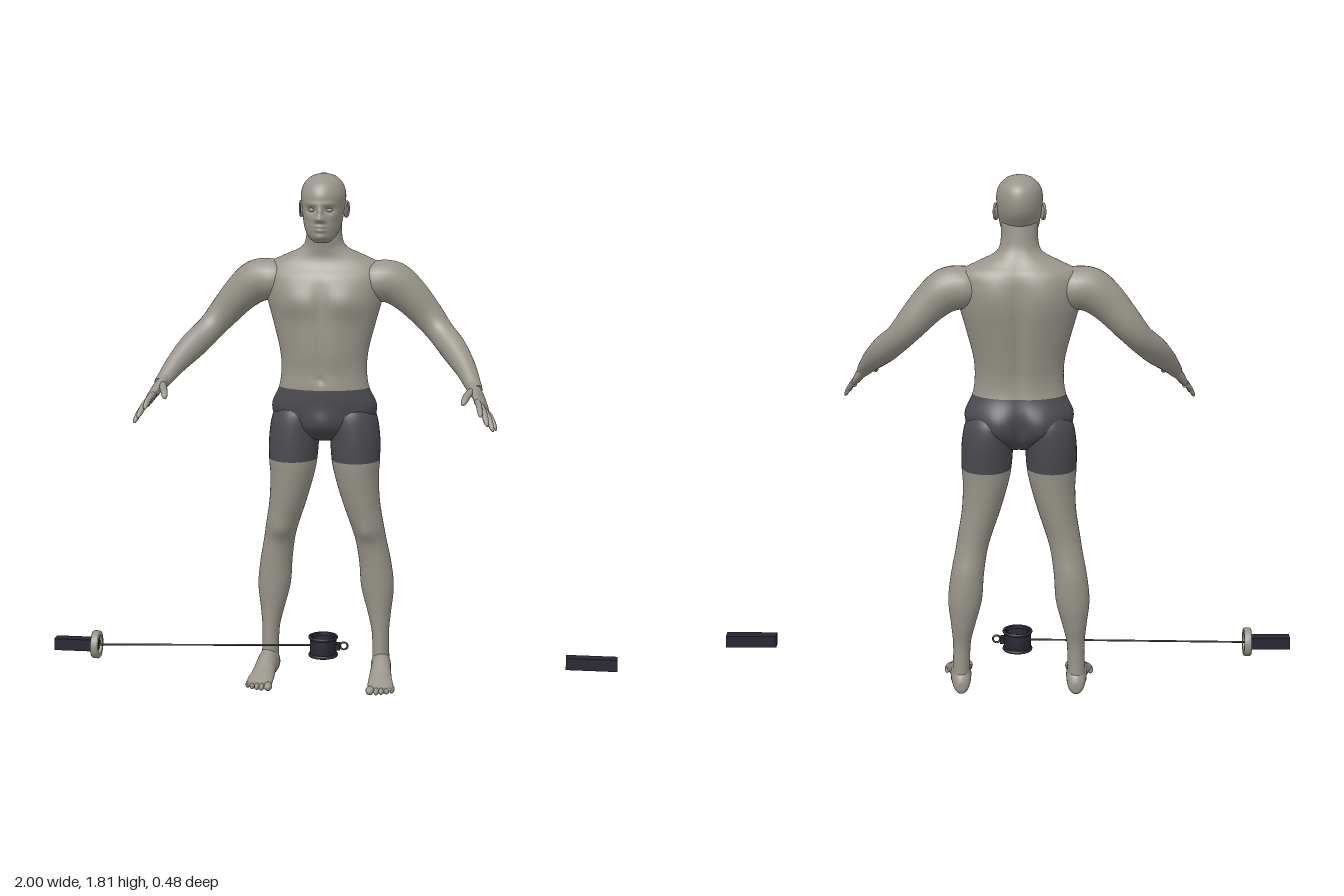
import * as THREE from 'three';

const V = (x, y, z) => new THREE.Vector3(x, y, z);
const material = (name, color) => {
  const m = new THREE.MeshStandardMaterial({ color });
  m.name = name;
  return m;
};

// Smooth interpolation of section rows [x, y, z, radiusU, radiusV]
function sample(rows, i, t) {
  const at = k => rows[Math.max(0, Math.min(rows.length - 1, k))];
  const [a, b, c, d] = [at(i - 1), at(i), at(i + 1), at(i + 2)];
  return b.map((_, k) => 0.5 * (2 * b[k] + (c[k] - a[k]) * t
    + (2 * a[k] - 5 * b[k] + 4 * c[k] - d[k]) * t * t
    + (3 * b[k] - a[k] - 3 * c[k] + d[k]) * t * t * t));
}

// Closed skin over elliptical sections. axes: fixed ring axes; ref: ring axis to follow a bending path.
// bumps: [x, y, side, sizeX, sizeY, push], mirrored in x, pushing the front (side 1) or back (-1) along z.
function loft(rows, { axes = [V(0, 0, 1), V(1, 0, 0)], ref, steps = 5, seg = 24, bumps = [], mats, cut = 0 } = {}) {
  const rings = [];
  for (let i = 0; i < rows.length - 1; i++)
    for (let k = 0; k < steps; k++) rings.push(sample(rows, i, k / steps));
  rings.push(rows[rows.length - 1]);
  const first = rings[0], last = rings[rings.length - 1];
  rings.unshift([...first.slice(0, 3), 0, 0]);
  rings.push([...last.slice(0, 3), 0, 0]);
  const pos = [], idx = [], n = rings.length;
  rings.forEach((r, i) => {
    let [u, v] = axes;
    if (ref) {
      const a = rings[Math.max(0, i - 2)], b = rings[Math.min(n - 1, i + 2)];
      const w = V(b[0] - a[0], b[1] - a[1], b[2] - a[2]).normalize();
      u = ref.clone().addScaledVector(w, -ref.dot(w)).normalize();
      v = w.clone().cross(u);
    }
    for (let j = 0; j < seg; j++) {
      const a = j / seg * Math.PI * 2;
      const p = V(r[0], r[1], r[2]).addScaledVector(u, r[3] * Math.cos(a)).addScaledVector(v, r[4] * Math.sin(a));
      const face = Math.cos(a);
      let dz = 0;
      for (const [x, y, side, sx, sy, push] of bumps)
        if (face * side > 0 && r[3] > 0)
          dz += push * Math.min(1, Math.abs(face) * 1.6)
            * Math.exp(-(((Math.abs(p.x) - x) / sx) ** 2) - (((p.y - y) / sy) ** 2));
      pos.push(p.x, Math.max(0, p.y), p.z + dz);
      if (i < n - 1) {
        const j2 = (j + 1) % seg, A = i * seg + j, B = i * seg + j2;
        idx.push(A, B, A + seg, B, B + seg, A + seg);
      }
    }
  });
  const g = new THREE.BufferGeometry();
  g.setAttribute('position', new THREE.Float32BufferAttribute(pos, 3));
  g.setIndex(idx);
  g.computeVertexNormals();
  if (mats) {
    const split = (1 + cut * steps) * seg * 6;
    g.addGroup(0, split, 0);
    g.addGroup(split, idx.length - split, 1);
  }
  return g;
}

export function createModel() {
  const skin = material('skin', 0x98948a), cloth = material('shorts cloth', 0x4a4a50);
  const dark = material('dark padding', 0x282632), pale = material('pulley metal', 0x98948a);
  const wire = material('cable', 0x45433f);
  const model = new THREE.Group(), body = new THREE.Group();
  model.name = 'trainingFigure';
  body.name = 'body';
  body.position.x = -0.04;
  model.add(body);
  const add = (parent, name, geo, mat, p = [0, 0, 0], scale = [1, 1, 1]) => {
    const m = new THREE.Mesh(geo, mat);
    m.name = name;
    m.position.set(...p);
    m.scale.set(...scale);
    parent.add(m);
    return m;
  };

  // Torso with the upper half of the shorts; rows are [x, y, z, depth, width]
  const torso = [
    [0, .885, -.115, .05, .06], [0, .93, -.115, .09, .155], [0, 1.0, -.115, .102, .185],
    [0, 1.07, -.106, .096, .158], [0, 1.13, -.107, .092, .15], [0, 1.2, -.11, .099, .155],
    [0, 1.3, -.118, .108, .18], [0, 1.38, -.123, .11, .202], [0, 1.45, -.128, .102, .215],
    [0, 1.495, -.137, .083, .2], [0, 1.525, -.132, .068, .145], [0, 1.555, -.122, .06, .082],
    [0, 1.59, -.113, .057, .063], [0, 1.66, -.105, .056, .062],
  ];
  add(body, 'torsoAndShorts', loft(torso, {
    seg: 64, steps: 6, mats: true, cut: 3,
    bumps: [
      [.085, 1.375, 1, .07, .05, .016], [0, 1.37, 1, .014, .08, -.008], // chest
      [0, 1.2, 1, .012, .12, -.005], [.045, 1.2, 1, .03, .1, .004], [0, 1.105, 1, .008, .009, -.008], // belly
      [0, 1.28, -1, .022, .2, .016], [.09, 1.42, -1, .06, .08, -.012], // spine and shoulder blades
      [.08, .97, -1, .055, .06, -.022], [0, .95, -1, .016, .07, .02], // buttocks
      [0, .95, 1, .04, .04, .014],
    ],
  }), [cloth, skin]);

  // Head and face
  const head = [
    [0, 1.58, -.045, .028, .026], [0, 1.598, -.052, .052, .046], [0, 1.63, -.069, .076, .062],
    [0, 1.67, -.085, .092, .07], [0, 1.70, -.092, .1, .074], [0, 1.74, -.094, .102, .077],
    [0, 1.775, -.098, .087, .067], [0, 1.8, -.1, .053, .042], [0, 1.811, -.1, .012, .01],
  ];
  add(body, 'head', loft(head, {
    seg: 72, steps: 9,
    bumps: [
      [0, 1.663, 1, .012, .011, .022], [0, 1.685, 1, .009, .022, .012], [.013, 1.659, 1, .007, .007, .008], // nose
      [.03, 1.692, 1, .015, .01, -.012], [.028, 1.713, 1, .022, .007, .005], // sockets and brows
      [0, 1.637, 1, .02, .004, .008], [0, 1.624, 1, .018, .005, .008], [0, 1.6, 1, .02, .011, .007], // lips and chin
      [.045, 1.668, 1, .014, .014, .005],
    ],
  }), skin);

  for (const s of [1, -1]) {
    const side = s > 0 ? 'left' : 'right';
    const flip = rows => rows.map(([x, ...rest]) => [x * s, ...rest]);

    // Eye and ear
    add(body, side + 'Eye', new THREE.SphereGeometry(.01, 16, 12), skin, [.03 * s, 1.692, -.012], [1.2, .7, 1]);
    const ear = add(body, side + 'Ear', new THREE.SphereGeometry(1, 16, 12), skin, [.076 * s, 1.685, -.1], [.007, .026, .015]);
    ear.rotation.y = -.3 * s;
    const rim = add(body, side + 'EarRim', new THREE.TorusGeometry(.017, .004, 8, 20), skin, [.08 * s, 1.689, -.102], [.9, 1.4, 1]);
    rim.rotation.y = Math.PI / 2 - .3 * s;

    // Arm from inside the shoulder to the wrist
    add(body, side + 'Arm', loft(flip([
      [.13, 1.435, -.13, .06, .06], [.18, 1.44, -.133, .071, .075], [.24, 1.432, -.138, .074, .07],
      [.3, 1.385, -.142, .064, .06], [.36, 1.318, -.145, .054, .052], [.405, 1.265, -.125, .047, .047],
      [.455, 1.213, -.07, .047, .045], [.5, 1.16, .002, .037, .036], [.53, 1.115, .068, .026, .028],
      [.54, 1.1, .09, .024, .024],
    ]), { ref: V(0, 1, 0) }), skin);

    // Hand
    const spread = V(.48 * s, -.59, -.64);
    add(body, side + 'Palm', loft(flip([
      [.525, 1.122, .058, .024, .022], [.536, 1.104, .085, .028, .02], [.55, 1.084, .115, .037, .018],
      [.565, 1.06, .147, .038, .014], [.57, 1.052, .158, .03, .008],
    ]), { ref: spread }), skin);
    const finger = (name, a, b, r) => {
      const rows = [0, .3, .6, .88, 1].map((t, i) => {
        const k = r * [1.05, 1, .95, .8, .35][i];
        return [a[0] + (b[0] - a[0]) * t, a[1] + (b[1] - a[1]) * t + .012 * Math.sin(t * Math.PI),
          a[2] + (b[2] - a[2]) * t, k, k];
      });
      add(body, side + name, loft(flip(rows), { ref: V(0, 1, 0), seg: 12, steps: 3 }), skin);
    };
    finger('IndexFinger', [.549, 1.076, .158], [.565, 1.04, .238], .0105);
    finger('MiddleFinger', [.558, 1.063, .149], [.588, 1.01, .242], .011);
    finger('RingFinger', [.567, 1.05, .139], [.606, .988, .218], .0105);
    finger('LittleFinger', [.576, 1.038, .127], [.614, .984, .178], .009);
    finger('Thumb', [.533, 1.1, .1], [.503, 1.07, .195], .013);

    // Leg with its half of the shorts
    const leg = [
      [.203, .04, -.135, .047, .034], [.2, .1, -.138, .042, .03], [.198, .18, -.14, .041, .031],
      [.193, .25, -.147, .049, .042], [.186, .34, -.15, .058, .058], [.178, .43, -.147, .061, .057],
      [.165, .51, -.136, .06, .055], [.152, .57, -.124, .069, .058], [.13, .66, -.117, .081, .066],
      [.115, .75, -.115, .091, .077], [.111, .812, -.115, .097, .085], [.107, .9, -.12, .103, .088],
      [.095, .98, -.122, .096, .084], [.085, 1.03, -.118, .06, .05],
    ];
    add(body, side + 'LegAndShorts', loft(flip(leg), {
      seg: 36, mats: true, cut: 10, bumps: [[.15, .555, 1, .03, .035, .008]],
    }), [skin, cloth]);

    // Foot and toes
    add(body, side + 'Foot', loft(flip([
      [.2, .03, -.194, .012, .018], [.2, .039, -.178, .028, .037], [.202, .054, -.13, .036, .053],
      [.206, .052, -.085, .036, .05], [.21, .036, -.03, .041, .034], [.215, .024, .015, .046, .022],
      [.216, .018, .042, .042, .014],
    ]), { axes: [V(1, 0, 0), V(0, 1, 0)] }), skin);
    for (let i = 0; i < 5; i++)
      add(body, side + 'Toe' + (i + 1), new THREE.SphereGeometry(1, 14, 10), skin,
        [(i ? .186 + i * .0175 : .181) * s, i ? .013 : .016, .047 - i * i * .0018],
        [i ? .0095 : .015, i ? .012 : .015, .026]);
  }

  // Side anchor bars
  add(model, 'rightAnchorBar', new THREE.BoxGeometry(.155, .042, .042), dark, [-.9225, .13, -.005]);
  add(model, 'leftAnchorBar', new THREE.BoxGeometry(.178, .042, .042), dark, [.911, .13, -.005]);

  // Pulley ring on the right anchor
  const ringProfile = [[.033, -.013], [.047, -.013], [.05, -.009], [.05, .009], [.047, .013], [.033, .013], [.033, -.013]];
  const lathe = pts => new THREE.LatheGeometry(pts.map(p => new THREE.Vector2(...p)), 36);
  add(model, 'pulleyRing', lathe(ringProfile), pale, [-.85, .13, -.005]).rotation.z = Math.PI / 2;
  add(model, 'pulleySpoke', new THREE.BoxGeometry(.012, .012, .08), dark, [-.85, .13, -.005]);

  // Cable from pulley to cuff
  const path = new THREE.LineCurve3(V(-.85, .129, -.005), V(-.08, .148, -.035));
  add(model, 'cable', new THREE.TubeGeometry(path, 1, .0035, 8), wire);

  // Ankle cuff with rims, buckle tab and hook ring
  const cuff = new THREE.Group();
  cuff.name = 'ankleCuff';
  cuff.position.set(-.035, .148, -.035);
  model.add(cuff);
  add(cuff, 'cuffBand', lathe([[.04, -.036], [.047, -.036], [.047, .036], [.04, .036], [.04, -.036]]), dark);
  for (const y of [-.032, .032]) {
    const rim = add(cuff, 'cuffRim', new THREE.TorusGeometry(.047, .006, 8, 36), dark, [0, y, 0]);
    rim.rotation.x = Math.PI / 2;
  }
  add(cuff, 'cuffLiner', new THREE.CylinderGeometry(.041, .041, .05, 32), dark);
  add(cuff, 'buckleTab', new THREE.BoxGeometry(.016, .022, .03), dark, [.053, 0, 0]);
  add(cuff, 'hookRing', new THREE.TorusGeometry(.013, .0035, 8, 24), wire, [.074, .002, 0]);
  return model;
}
